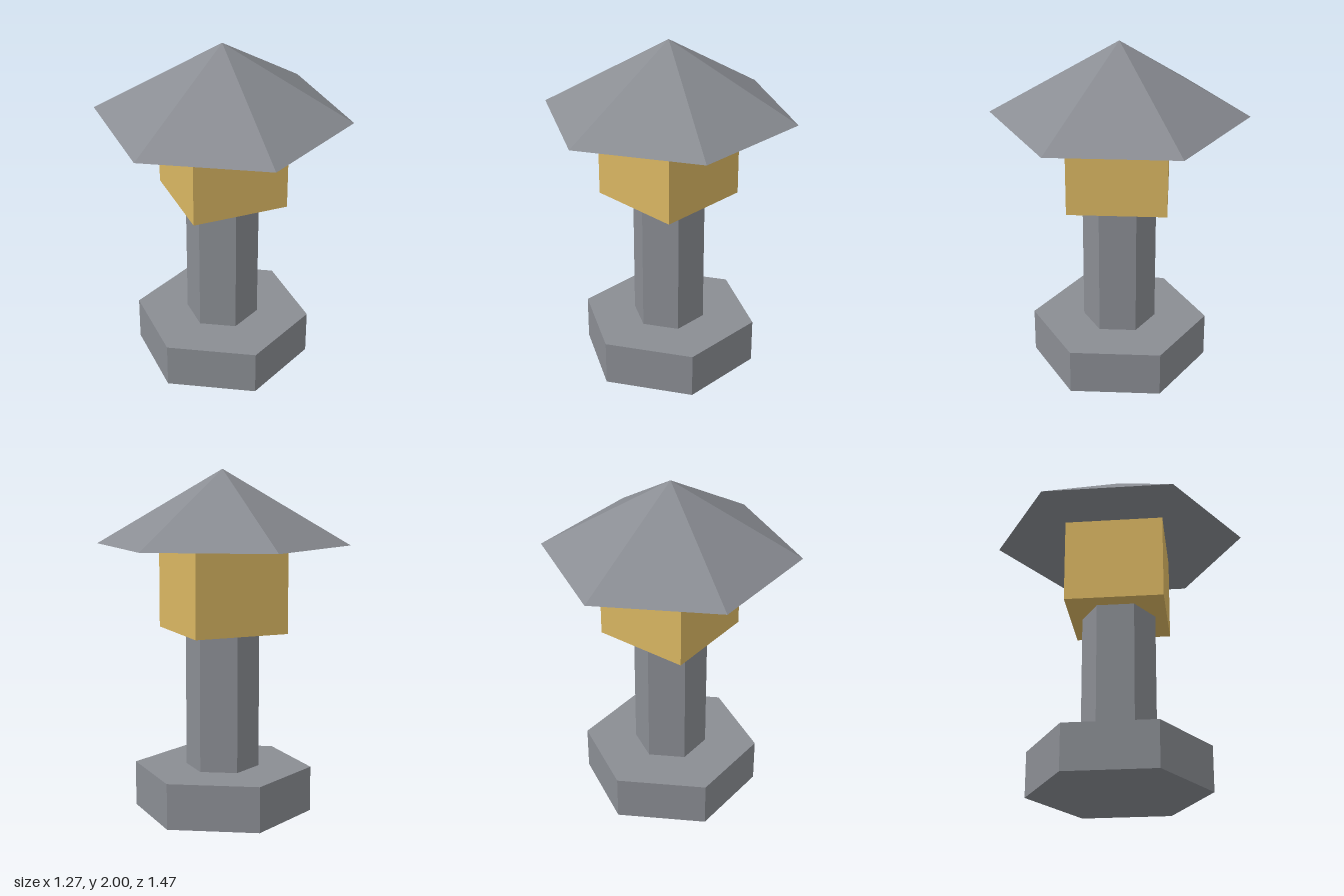
import * as THREE from 'three';

export function createModel() {
  const group = new THREE.Group();
  group.name = 'stoneLantern';

  const material = (name, color) => {
    const m = new THREE.MeshStandardMaterial({ color, flatShading: true });
    m.name = name;
    return m;
  };
  const stone = material('grey stone', 0x8a8d93);
  const glow = material('warm lamp', 0xd9b662);

  // Places a part so that its underside sits at the given height
  const add = (name, geometry, mat, bottom, height) => {
    const mesh = new THREE.Mesh(geometry, mat);
    mesh.name = name;
    mesh.position.y = bottom + height / 2;
    group.add(mesh);
  };

  // Hexagonal foot and post, each with a corner facing the front
  add('base', new THREE.CylinderGeometry(0.522, 0.522, 0.265, 6), stone, 0, 0.265);
  add('post', new THREE.CylinderGeometry(0.215, 0.215, 0.805, 6), stone, 0.265, 0.805);

  // Square lamp box
  add('lampBox', new THREE.BoxGeometry(0.567, 0.5, 0.567), glow, 1.07, 0.5);

  // Six-sided pointed roof
  add('roof', new THREE.ConeGeometry(0.735, 0.43, 6), stone, 1.57, 0.43);

  return group;
}
